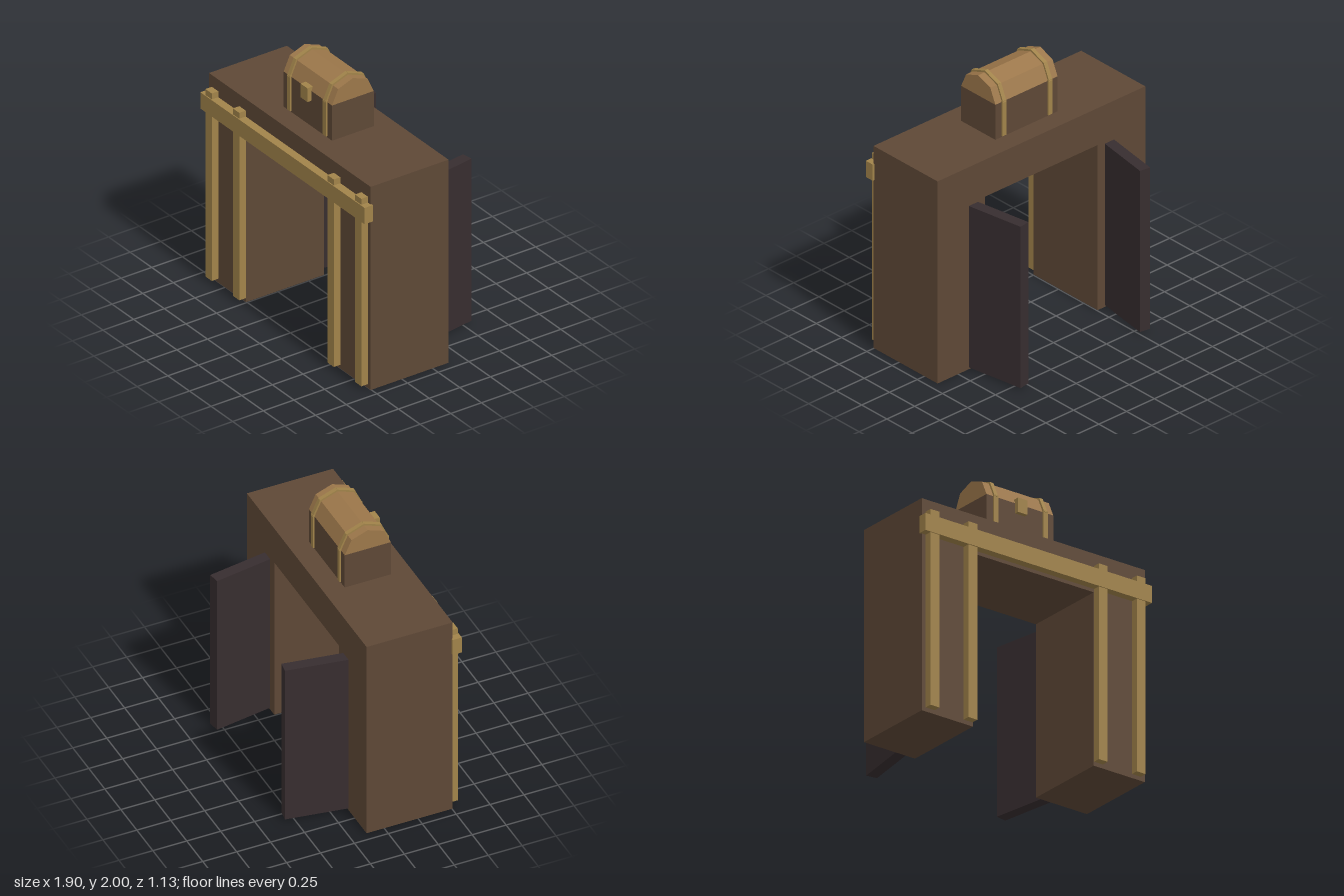
import * as THREE from 'three';

const material = (name, color) => {
  const m = new THREE.MeshStandardMaterial({ color });
  m.name = name;
  return m;
};

export function createModel() {
  const darkWood = material('dark wood', 0x5e4836);
  const lidWood = material('lid wood', 0x9c774a);
  const gold = material('aged gold', 0xa1834a);
  const charcoal = material('charcoal', 0x372d2f);
  const model = new THREE.Group();
  model.name = 'chestGateway';

  const add = (parent, name, geometry, mat) => {
    const mesh = new THREE.Mesh(geometry, mat);
    mesh.name = name;
    parent.add(mesh);
    return mesh;
  };
  // Box given by its minimum and maximum corners
  const box = (parent, name, mat, a, b) => {
    const mesh = add(parent, name, new THREE.BoxGeometry(b[0] - a[0], b[1] - a[1], b[2] - a[2]), mat);
    mesh.position.set((a[0] + b[0]) / 2, (a[1] + b[1]) / 2, (a[2] + b[2]) / 2);
    return mesh;
  };

  // Gateway block: an upside-down U pushed back in depth
  const arch = new THREE.Shape([
    [-0.935, 0], [-0.507, 0], [-0.507, 1.275], [0.507, 1.275],
    [0.507, 0], [0.935, 0], [0.935, 1.56], [-0.935, 1.56],
  ].map(([x, y]) => new THREE.Vector2(x, y)));
  const frame = new THREE.ExtrudeGeometry(arch, { depth: 0.635, bevelEnabled: false });
  frame.translate(0, 0, -0.13);
  add(model, 'gateway', frame, darkWood);

  // Front trim: lintel and four posts
  box(model, 'lintelTrim', gold, [-0.95, 1.3, 0.497], [0.95, 1.425, 0.565]);
  for (const x of [-0.865, -0.547, 0.547, 0.865]) {
    box(model, 'postTrim', gold, [x - 0.037, 0.03, 0.49], [x + 0.037, 1.47, 0.558]);
  }

  // Doors swung open behind the gateway
  for (const side of [-1, 1]) {
    const door = add(model, side > 0 ? 'leftDoor' : 'rightDoor', new THREE.BoxGeometry(0.082, 1.245, 0.48), charcoal);
    door.position.set(side * 0.581, 0.6375, -0.323);
    door.rotation.y = side * 0.16;
  }

  // Chest base
  const chest = new THREE.Group();
  chest.name = 'chest';
  model.add(chest);
  box(chest, 'chestBase', darkWood, [-0.28, 1.56, 0.018], [0.28, 1.83, 0.358]);

  // Faceted lid: profile points are [z, y]
  const profile = [[0.358, 1.83], [0.308, 1.94], [0.188, 1.985], [0.068, 1.94], [0.018, 1.83]];
  const lidShape = new THREE.Shape(profile.map(([z, y]) => new THREE.Vector2(-z, y)));
  const lid = new THREE.ExtrudeGeometry(lidShape, { depth: 0.56, bevelEnabled: false });
  lid.translate(0, 0, -0.28);
  lid.rotateY(Math.PI / 2);
  add(chest, 'chestLid', lid, lidWood);

  // Straps: upright bands front and back, then one plate per lid facet
  for (const x of [-0.207, 0.207]) {
    box(chest, 'frontStrap', gold, [x - 0.018, 1.57, 0.35], [x + 0.018, 1.84, 0.37]);
    box(chest, 'backStrap', gold, [x - 0.018, 1.57, 0.006], [x + 0.018, 1.84, 0.026]);
    for (let i = 0; i < 4; i++) {
      const [z0, y0] = profile[i];
      const [z1, y1] = profile[i + 1];
      const length = Math.hypot(z1 - z0, y1 - y0);
      const strap = add(chest, 'lidStrap', new THREE.BoxGeometry(0.03, 0.026, length + 0.012), gold);
      strap.position.set(x, (y0 + y1) / 2, (z0 + z1) / 2);
      strap.rotation.x = Math.atan2(y1 - y0, z0 - z1);
    }
  }

  // Latch
  box(chest, 'latch', gold, [-0.04, 1.755, 0.345], [0.04, 1.86, 0.39]);
  return model;
}
